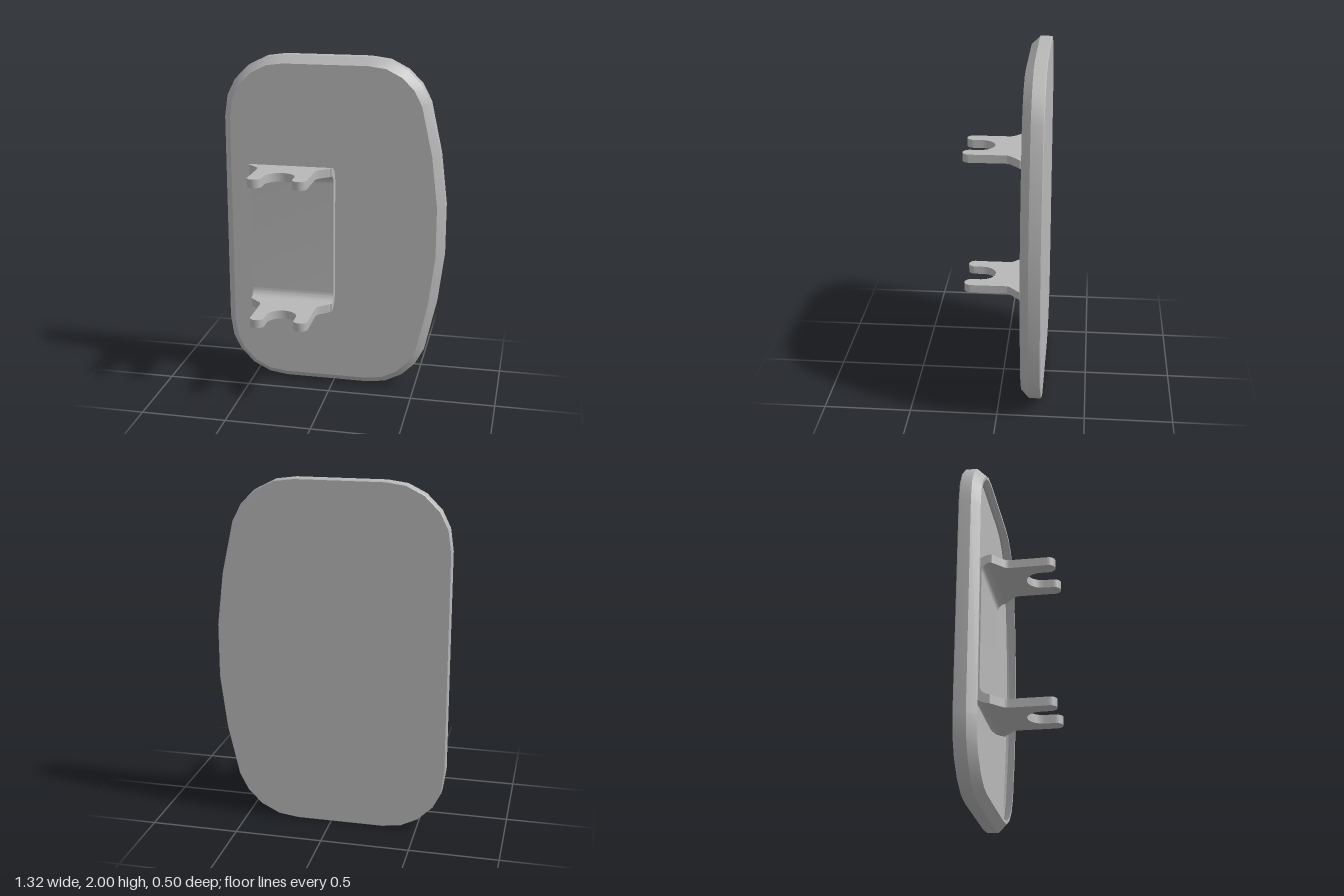
import * as THREE from 'three';
import { toCreasedNormals } from 'three/addons/utils/BufferGeometryUtils.js';

// upper half of the panel outline, right to left, measured from mid height
const HALF = [
  [0.655, 0.155], [0.618, 0.457], [0.552, 0.752], [0.5, 0.852], [0.42, 0.932], [0.315, 0.985], [0.2, 1],
  [-0.3, 1], [-0.41, 0.985], [-0.51, 0.935], [-0.595, 0.85], [-0.642, 0.755], [-0.66, 0.63],
];

// moves a counter-clockwise outline inwards by d with mitred corners
function inset(points, d) {
  const n = points.length;
  return points.map((p, i) => {
    const a = points[(i + n - 1) % n], b = points[(i + 1) % n];
    const u = p.clone().sub(a).normalize(), v = b.clone().sub(p).normalize();
    const m = new THREE.Vector2(-u.y - v.y, u.x + v.x).normalize();
    const k = d / (m.x * -v.y + m.y * v.x);
    return p.clone().addScaledVector(m, k);
  });
}

// hollow panel: rings run from the back centre, round the rim, to the floor centre
function panelGeometry() {
  const outline = [
    ...HALF.map(([x, y]) => new THREE.Vector2(x, 1 + y)),
    ...HALF.slice().reverse().map(([x, y]) => new THREE.Vector2(x, 1 - y)),
  ];
  const sections = [
    [null, -0.25], [0.005, -0.25], [0, -0.245], [0, -0.18], [0.045, -0.133],
    [0.063, -0.133], [0.02, -0.18], [0.02, -0.195], [null, -0.195],
  ];
  const rings = sections.map(([d, z]) =>
    (d === null ? outline.map(() => new THREE.Vector2(0, 1)) : inset(outline, d))
      .map((p) => [p.x, p.y, z]));
  const pos = [];
  const n = outline.length;
  for (let r = 0; r < rings.length - 1; r++) {
    for (let i = 0; i < n; i++) {
      const j = (i + 1) % n;
      const a = rings[r][i], b = rings[r][j], c = rings[r + 1][j], d = rings[r + 1][i];
      if (sections[r][0] !== null) pos.push(...a, ...b, ...c);
      if (sections[r + 1][0] !== null) pos.push(...a, ...c, ...d);
    }
  }
  const g = new THREE.BufferGeometry();
  g.setAttribute('position', new THREE.Float32BufferAttribute(pos, 3));
  return toCreasedNormals(g, 0.5);
}

// U-shaped strip with rounded bends, drawn in z and y, swept along x
function stripGeometry() {
  const s = new THREE.Shape();
  const z = -0.09, top = 1.26, low = 0.583, R = 0.105, r = 0.055;
  s.moveTo(z, top + R);
  s.absarc(z, top, R, Math.PI / 2, Math.PI, false);
  s.absarc(z, low, R, Math.PI, Math.PI * 1.5, false);
  s.absarc(z, low, r, Math.PI * 1.5, Math.PI, true);
  s.absarc(z, top, r, Math.PI, Math.PI / 2, true);
  s.closePath();
  const g = new THREE.ExtrudeGeometry(s, { depth: 0.5, bevelEnabled: false, curveSegments: 10 });
  g.rotateY(-Math.PI / 2);
  return toCreasedNormals(g, 0.6);
}

// forked arm drawn in x and z, with two rounded prongs and a round-ended slot
function armGeometry() {
  const s = new THREE.Shape();
  s.moveTo(-0.495, -0.092);
  s.quadraticCurveTo(-0.487, -0.082, -0.475, -0.072);
  s.lineTo(-0.435, -0.035);
  s.quadraticCurveTo(-0.42, -0.02, -0.42, 0);
  s.lineTo(-0.42, 0.208);
  s.absarc(-0.38, 0.208, 0.042, Math.PI, 0, true);
  s.lineTo(-0.338, 0.158);
  s.absarc(-0.25, 0.158, 0.088, Math.PI, Math.PI * 2, false);
  s.lineTo(-0.162, 0.208);
  s.absarc(-0.12, 0.208, 0.042, Math.PI, 0, true);
  s.lineTo(-0.08, 0);
  s.quadraticCurveTo(-0.08, -0.02, -0.065, -0.035);
  s.lineTo(-0.025, -0.072);
  s.quadraticCurveTo(-0.013, -0.082, -0.005, -0.092);
  s.closePath();
  const g = new THREE.ExtrudeGeometry(s, { depth: 0.05, bevelEnabled: false, curveSegments: 8 });
  g.rotateX(Math.PI / 2);
  return toCreasedNormals(g, 0.6);
}

export function createModel() {
  const model = new THREE.Group();
  model.name = 'bracketedPanel';
  const grey = new THREE.MeshStandardMaterial({ color: 0xb8b8b8 });
  grey.name = 'grey';

  const add = (parent, name, geometry, y = 0) => {
    const mesh = new THREE.Mesh(geometry, grey);
    mesh.name = name;
    mesh.position.y = y;
    parent.add(mesh);
  };

  add(model, 'panel', panelGeometry());

  // mounting bracket
  const bracket = new THREE.Group();
  bracket.name = 'bracket';
  model.add(bracket);
  add(bracket, 'bracketStrip', stripGeometry());
  const arm = armGeometry();
  add(bracket, 'upperArm', arm, 1.365);
  add(bracket, 'lowerArm', arm, 0.528);
  return model;
}
